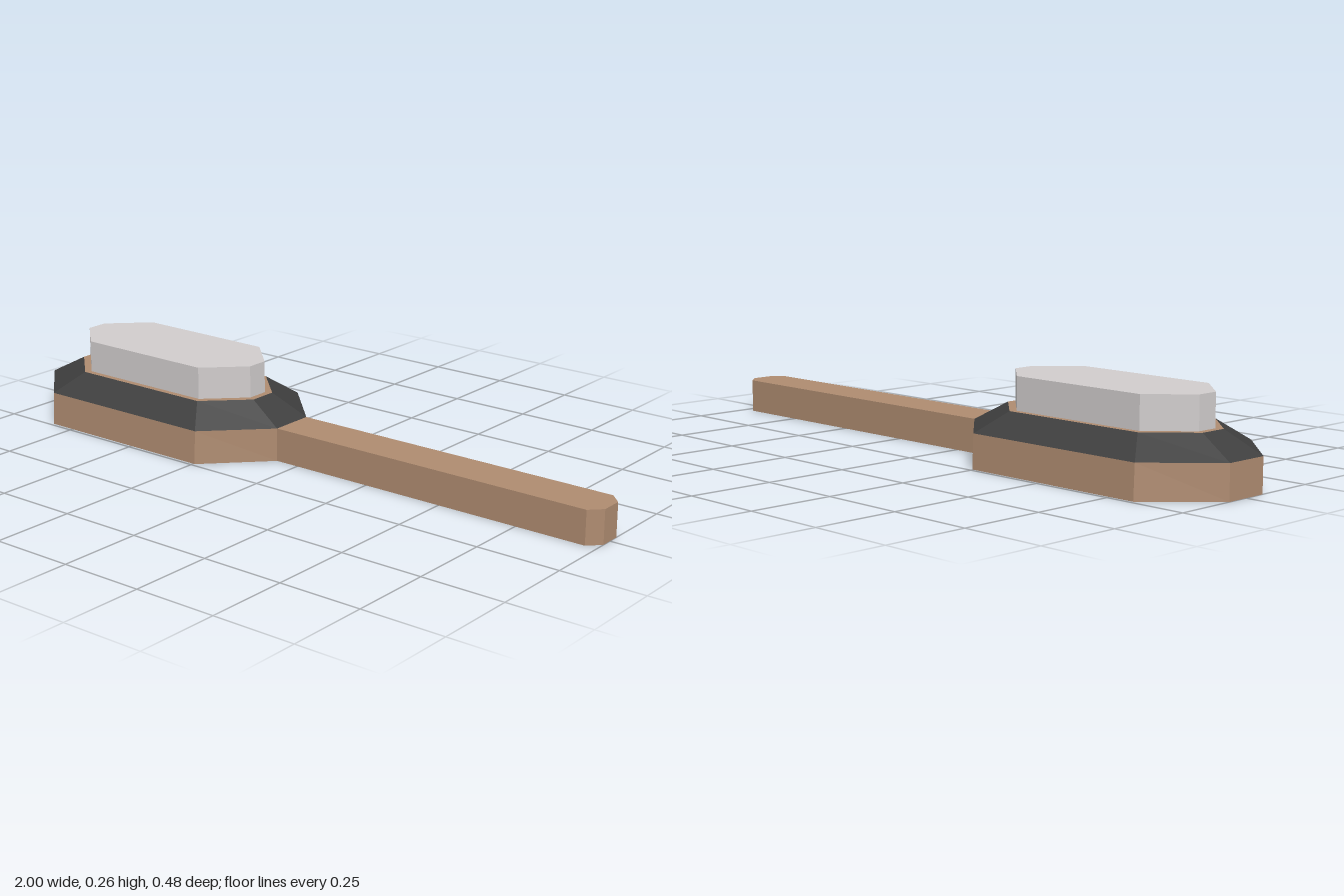
import * as THREE from 'three';

const wood = new THREE.MeshStandardMaterial({ name: 'wood', color: 0xae8b70 });
const rubber = new THREE.MeshStandardMaterial({ name: 'black rubber', color: 0x3f3f3f });
const bristle = new THREE.MeshStandardMaterial({ name: 'pale grey bristles', color: 0xd0cccc });
const CENTRE = -0.5375;

// Long octagon as [x, z] points, running from +x towards +z
function octagon(halfLength, straight, halfWidth, endHalf) {
  return [
    [halfLength, -endHalf], [halfLength, endHalf], [straight, halfWidth], [-straight, halfWidth],
    [-halfLength, endHalf], [-halfLength, -endHalf], [-straight, -halfWidth], [straight, -halfWidth],
  ].map(([x, z]) => [x + CENTRE, z]);
}

// Flat-sided solid between two matching outlines, with optional caps
function loft(lower, y0, upper, y1, capBottom = true, capTop = true) {
  const pos = [];
  const put = (ring, y, ...ids) => ids.forEach(i => pos.push(ring[i][0], y, ring[i][1]));
  const n = lower.length;
  for (let i = 0; i < n; i++) {
    const j = (i + 1) % n;
    put(lower, y0, i); put(upper, y1, i, j);
    put(lower, y0, i); put(upper, y1, j); put(lower, y0, j);
  }
  const tris = ring => THREE.ShapeUtils.triangulateShape(ring.map(p => new THREE.Vector2(...p)), []);
  if (capBottom) tris(lower).forEach(([a, b, c]) => put(lower, y0, a, b, c));
  if (capTop) tris(upper).forEach(([a, b, c]) => put(upper, y1, a, c, b));
  const geo = new THREE.BufferGeometry();
  geo.setAttribute('position', new THREE.Float32BufferAttribute(pos, 3));
  geo.computeVertexNormals();
  return geo;
}

// Head outline with the handle growing from its +x end
function paddle(halfWidth) {
  const head = octagon(0.4625, 0.2925, halfWidth, 0.068);
  return [[0.965, -0.068], [1, -0.033], [1, 0.033], [0.965, 0.068], ...head.slice(1), head[0]];
}

export function createModel() {
  const group = new THREE.Group();
  const add = (name, geo, material) => {
    const mesh = new THREE.Mesh(geo, material);
    mesh.name = name;
    group.add(mesh);
  };

  // Wooden head and handle, the head narrowing slightly upwards
  add('woodenBody', loft(paddle(0.24), 0, paddle(0.236), 0.1), wood);

  // Sloping black collar, then the wooden deck inside it
  const collarBase = octagon(0.4625, 0.2925, 0.236, 0.068);
  const collarTop = octagon(0.352, 0.232, 0.157, 0.043);
  add('collar', loft(collarBase, 0.1, collarTop, 0.16, false, false), rubber);
  add('deck', loft(collarTop, 0.155, collarTop, 0.16, false, true), wood);

  // Solid block of bristles
  const block = octagon(0.332, 0.222, 0.139, 0.033);
  add('bristles', loft(block, 0.16, block, 0.256, false, true), bristle);
  return group;
}
